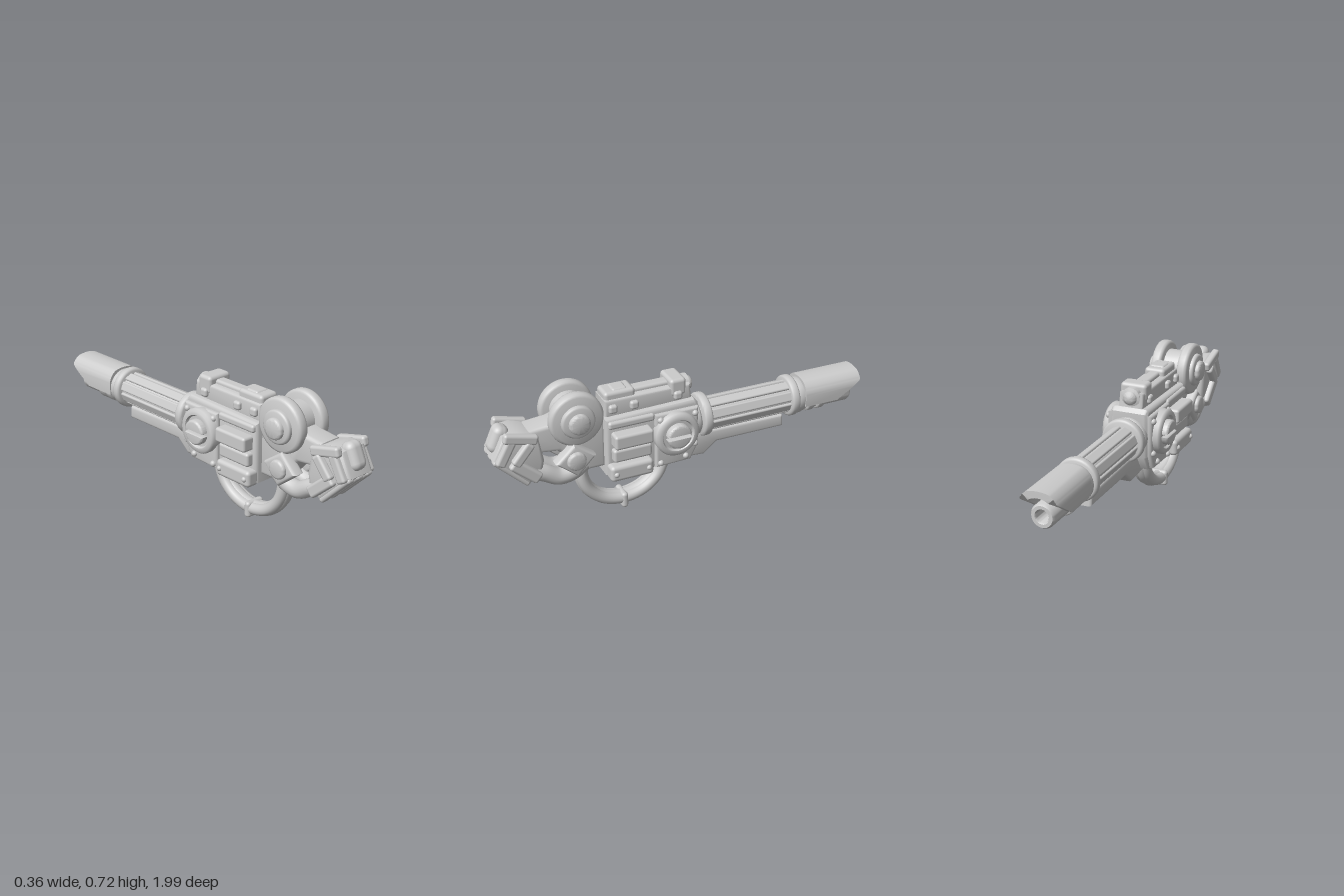
import * as THREE from 'three';
import { toCreasedNormals } from 'three/addons/utils/BufferGeometryUtils.js';
import { RoundedBoxGeometry } from 'three/addons/geometries/RoundedBoxGeometry.js';

export function createModel() {
  const model = new THREE.Group();
  const mat = new THREE.MeshStandardMaterial({ color: 0xcccccc, side: THREE.DoubleSide });

  function add(name, geo, x = 0, y = 0, z = 0, rx = 0) {
    const m = new THREE.Mesh(geo, mat);
    m.name = name;
    m.position.set(x, y, z);
    m.rotation.x = rx;
    model.add(m);
    return m;
  }
  // Soft-edged box given by its size and centre
  const box = (name, w, h, d, x, y, z, rx = 0, r = 0.014) =>
    add(name, new RoundedBoxGeometry(w, h, d, 3, Math.min(r, w / 2.1, h / 2.1, d / 2.1)), x, y, z, rx);
  // Side outline (a Shape in z, y) extruded across x with a soft bevel
  function extrudeSide(name, shape, width, x, bevel) {
    const depth = width - 2 * bevel;
    const geo = new THREE.ExtrudeGeometry(shape, {
      depth, bevelSize: bevel, bevelThickness: bevel, bevelOffset: -bevel, bevelSegments: 3, curveSegments: 24,
    });
    geo.translate(0, 0, -depth / 2).rotateY(-Math.PI / 2);
    return add(name, toCreasedNormals(geo, 0.7), x);
  }
  // The same from a list of [z, y] corners
  const slab = (name, pts, width, x = 0, bevel = 0.015) =>
    extrudeSide(name, new THREE.Shape(pts.map(p => new THREE.Vector2(...p))), width, x, bevel);
  // Turned part from [radius, position] points, along x or towards -z
  function turned(name, pts, axis, x, y, z, flip = 1) {
    const geo = new THREE.LatheGeometry(pts.map(p => new THREE.Vector2(...p)), 40);
    if (axis === 'x') geo.rotateZ(-Math.PI / 2 * flip);
    else geo.rotateX(-Math.PI / 2);
    return add(name, toCreasedNormals(geo, 0.9), x, y, z);
  }
  // Disc profile with rounded rims
  const disc = (r, a, b, e = 0.012) => [[0, a], [r - e, a], [r - e * 0.3, a + e * 0.3], [r, a + e],
    [r, b - e], [r - e * 0.3, b - e * 0.3], [r - e, b], [0, b]];
  const both = fn => [1, -1].forEach(fn);

  // Receiver
  slab('receiver', [[0.43, 0.24], [0.43, 0.55], [-0.04, 0.56], [-0.06, 0.54], [-0.06, 0.31], [-0.01, 0.23], [0.1, 0.22]], 0.2, 0, 0.02);
  both(s => {
    slab('sidePlate', [[0.18, 0.235], [0.18, 0.53], [-0.05, 0.53], [-0.05, 0.32], [-0.01, 0.24]], 0.05, s * 0.095);
    box('upperSideRib', 0.03, 0.04, 0.24, s * 0.1, 0.52, 0.3);
    box('sidePanel', 0.08, 0.075, 0.2, s * 0.12, 0.445, 0.305);
    box('middlePanel', 0.06, 0.07, 0.2, s * 0.105, 0.36, 0.305);
    box('lowerPanel', 0.075, 0.085, 0.225, s * 0.113, 0.27, 0.315, 0, 0.02);
    for (const [z, y] of [[0.155, 0.26], [0.155, 0.5], [-0.03, 0.5], [-0.03, 0.33], [0.02, 0.27]])
      add('rivet', new THREE.SphereGeometry(0.016, 16, 10), s * 0.12, y, z);
    for (const z of [0.4, 0.23]) add('rivet', new THREE.SphereGeometry(0.014, 16, 10), s * 0.148, 0.27, z);
  });

  // Slotted dial on each side
  const half = new THREE.Shape();
  half.absarc(0, 0, 0.064, 0.14, Math.PI - 0.14, false);
  half.closePath();
  both(s => {
    turned('dialRing', [[0, 0.08], [0.11, 0.08], [0.115, 0.09], [0.115, 0.145], [0.105, 0.157], [0.085, 0.157], [0.078, 0.145], [0, 0.145]],
      'x', 0, 0.415, 0.075, s);
    both(h => {
      const m = extrudeSide('dialHalf', half, 0.06, s * 0.15, 0.012);
      m.position.y = 0.415;
      m.position.z = 0.075;
      m.rotation.x = h > 0 ? 0 : Math.PI;
    });
    box('dialSlotBar', 0.02, 0.012, 0.09, s * 0.148, 0.415, 0.075);
  });

  // Top rail and its blocks
  slab('topRail', [[0.42, 0.54], [0.42, 0.635], [-0.03, 0.635], [-0.04, 0.54]], 0.13);
  box('rearRailBlock', 0.11, 0.07, 0.16, 0, 0.635, 0.335, 0, 0.018);
  box('rearRailCap', 0.08, 0.04, 0.08, 0, 0.656, 0.33);
  box('railRidge', 0.06, 0.04, 0.22, 0, 0.635, 0.16);
  box('frontRailBlock', 0.14, 0.09, 0.085, 0, 0.628, 0.035, 0, 0.018);
  turned('frontKnob', [[0, -0.03], [0.05, -0.03], [0.05, 0.015], [0.035, 0.02], [0.033, 0.032], [0.018, 0.042], [0, 0.045]], 'z', 0, 0.61, -0.02);
  both(s => [0.38, 0.27, 0.04].forEach(z => box('railLug', 0.03, 0.045, 0.045, s * 0.07, 0.59, z)));

  // Barrel with ribs and collars
  turned('barrel', [[0.076, 0.04], [0.076, 0.7]], 'z', 0, 0.41, 0);
  for (let i = 0; i < 8; i++) {
    const a = i * Math.PI / 4 + Math.PI / 8;
    const rib = box('barrelRib', 0.05, 0.018, 0.52, Math.sin(a) * 0.076, 0.41 + Math.cos(a) * 0.076, -0.36, 0, 0.008);
    rib.rotation.z = -a;
  }
  turned('barrelSeat', disc(0.1, 0.03, 0.085), 'z', 0, 0.415, 0);
  turned('rearCollar', disc(0.112, 0.095, 0.142), 'z', 0, 0.415, 0);
  turned('frontCollar', disc(0.108, 0.595, 0.64), 'z', 0, 0.41, 0);
  turned('muzzleSleeve', disc(0.092, 0.63, 0.69), 'z', 0, 0.405, 0);
  slab('underBarrel', [[0.12, 0.215], [0.12, 0.3], [-0.09, 0.335], [-0.57, 0.325], [-0.575, 0.258], [-0.19, 0.258], [-0.12, 0.2]], 0.09);

  // Muzzle: bored inner tube, rings and overhanging shroud
  turned('muzzleTube', [[0.06, 0.64], [0.06, 0.955], [0.052, 0.968], [0.036, 0.968], [0.03, 0.96], [0.03, 0.8], [0, 0.8]], 'z', 0, 0.373, 0);
  for (const z of [0.655, 0.725, 0.785]) turned('muzzleRing', disc(0.082, z - 0.02, z + 0.02, 0.008), 'z', 0, 0.387, 0);
  const arch = new THREE.Shape();
  arch.moveTo(-0.094, 0.37);
  arch.lineTo(-0.098, 0.43);
  arch.quadraticCurveTo(-0.095, 0.475, -0.055, 0.5);
  arch.quadraticCurveTo(0, 0.515, 0.055, 0.5);
  arch.quadraticCurveTo(0.095, 0.475, 0.098, 0.43);
  arch.lineTo(0.094, 0.37);
  arch.lineTo(0.066, 0.37);
  arch.quadraticCurveTo(0.08, 0.475, 0, 0.475);
  arch.quadraticCurveTo(-0.08, 0.475, -0.066, 0.37);
  const shroud = new THREE.ExtrudeGeometry(arch, { depth: 0.325, bevelEnabled: false, curveSegments: 10 });
  shroud.translate(0, 0, -1);
  const p = shroud.attributes.position;
  // Slant the open end so the roof overhangs
  for (let i = 0; i < p.count; i++)
    if (p.getZ(i) < -0.9) p.setZ(i, -1 + Math.max(0, 0.46 - p.getY(i)) * 1.5);
  add('muzzleShroud', toCreasedNormals(shroud, 0.6));

  // Twin-tube loop below the receiver
  const loop = new THREE.CatmullRomCurve3([[0.525, 0.32], [0.535, 0.24], [0.505, 0.15], [0.43, 0.077], [0.32, 0.048],
    [0.21, 0.073], [0.135, 0.135], [0.1, 0.21], [0.09, 0.28]].map(([z, y]) => new THREE.Vector3(0, y, z)));
  both(s => add('loopTube', new THREE.TubeGeometry(loop, 60, 0.03, 16), s * 0.021));
  add('loopCore', new THREE.TubeGeometry(loop, 60, 0.036, 14));
  box('loopClamp', 0.11, 0.085, 0.035, 0, 0.043, 0.32, 0, 0.025);

  // Large spool with two flanges and stepped hubs
  turned('spoolDrum', [[0.092, -0.08], [0.092, 0.08]], 'x', 0, 0.585, 0.57);
  both(s => {
    turned('spoolFlange', disc(0.136, 0.045, 0.102, 0.016), 'x', 0, 0.585, 0.57, s);
    turned('hubRing', disc(0.085, 0.09, 0.122), 'x', 0, 0.583, 0.57, s);
    turned('hubCap', disc(0.053, 0.1, 0.145), 'x', 0, 0.58, 0.57, s);
  });

  // Linking arm between the receiver, spool and butt
  slab('arm', [[0.82, 0.44], [0.8, 0.56], [0.7, 0.57], [0.6, 0.6], [0.42, 0.54], [0.42, 0.28], [0.55, 0.28], [0.66, 0.42]], 0.13, 0, 0.02);
  both(s => {
    slab('diamondPlate', [[0.69, 0.375], [0.595, 0.465], [0.485, 0.385], [0.58, 0.285]], 0.07, s * 0.08, 0.018);
    turned('diamondBoss', disc(0.048, 0.1, 0.135), 'x', 0, 0.38, 0.59, s);
    const hose = new THREE.CatmullRomCurve3([[0.82, 0.35], [0.74, 0.32], [0.66, 0.28], [0.59, 0.29], [0.53, 0.33]]
      .map(([z, y]) => new THREE.Vector3(s * 0.052, y, z)));
    add('hose', new THREE.TubeGeometry(hose, 30, 0.043, 18));
  });

  // Tilted butt block with ridges, straps and a rounded top pad
  slab('butt', [[0.985, 0.45], [0.93, 0.565], [0.86, 0.575], [0.76, 0.54], [0.735, 0.4], [0.75, 0.33], [0.82, 0.285]], 0.17, 0, 0.022);
  box('buttPad', 0.092, 0.14, 0.08, 0, 0.53, 0.935, -0.42, 0.035);
  for (const x of [-0.062, 0, 0.062]) box('buttRidge', 0.045, 0.03, 0.23, x, 0.368, 0.898, -0.78, 0.014);
  both(s => {
    box('upperStrap', 0.04, 0.05, 0.17, s * 0.09, 0.55, 0.85, -0.25);
    box('frontStrap', 0.04, 0.14, 0.05, s * 0.088, 0.49, 0.925, -0.5);
    box('middleStrap', 0.04, 0.13, 0.05, s * 0.097, 0.47, 0.845, -0.7);
    box('lowerStrap', 0.045, 0.06, 0.17, s * 0.09, 0.375, 0.835, -0.72);
  });
  return model;
}
